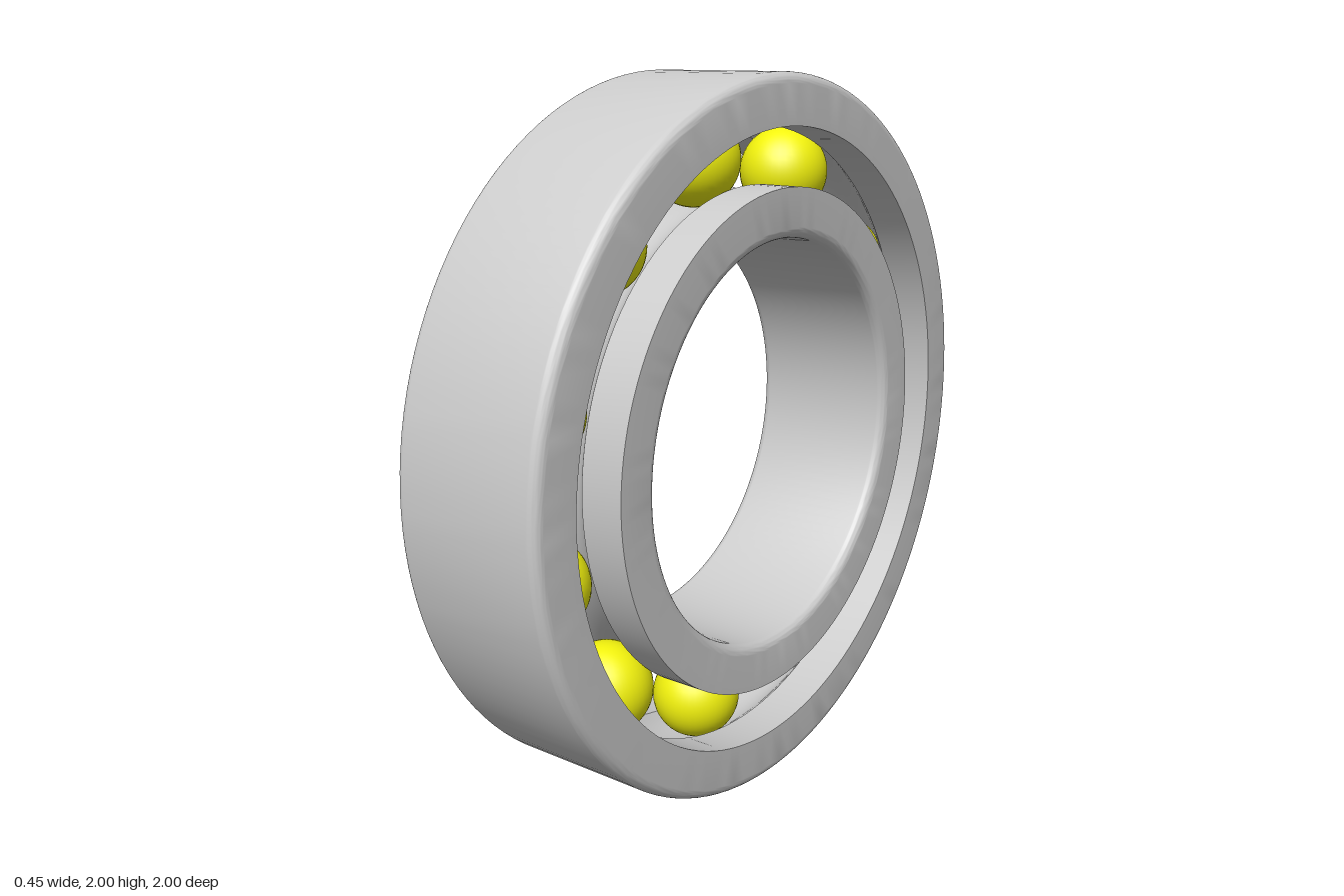
import * as THREE from 'three';
import { toCreasedNormals } from 'three/addons/utils/BufferGeometryUtils.js';

const W = 0.225;        // half width of the rings
const F = 0.03;         // edge fillet
const PITCH = 0.784;    // radius of the circle of balls
const BALL = 0.127;
const GROOVE = 0.13;    // raceway radius
const OUTER = 1, OUTER_SHOULDER = 0.862;
const INNER_SHOULDER = 0.705, BORE = 0.568;
const COUNT = 11;

// Revolve a closed, counter-clockwise (radius, height) outline about the x axis
function ring(name, outline, material) {
  const points = outline.getPoints(6).filter((p, i, all) => i === 0 || p.distanceTo(all[i - 1]) > 1e-5);
  if (points[0].distanceTo(points[points.length - 1]) > 1e-5) points.push(points[0].clone());
  const geometry = toCreasedNormals(new THREE.LatheGeometry(points, 128), 0.5);
  geometry.rotateZ(-Math.PI / 2);
  const mesh = new THREE.Mesh(geometry, material);
  mesh.name = name;
  return mesh;
}

export function createModel() {
  const model = new THREE.Group();
  model.name = 'ballBearing';
  const grey = new THREE.MeshStandardMaterial({ color: 0xcccccc });
  const yellow = new THREE.MeshStandardMaterial({ color: 0xf2f20d });
  const assembly = new THREE.Group();
  assembly.name = 'bearingAssembly';
  assembly.position.y = 1;
  model.add(assembly);

  // Outer ring: rounded outer edges, raceway on the inside
  const a = Math.acos((OUTER_SHOULDER - PITCH) / GROOVE);
  const outer = new THREE.Path();
  outer.moveTo(OUTER, -W + F);
  outer.absarc(OUTER - F, W - F, F, 0, Math.PI / 2, false);
  outer.lineTo(OUTER_SHOULDER, W);
  outer.absarc(PITCH, 0, GROOVE, a, -a, true);
  outer.lineTo(OUTER_SHOULDER, -W);
  outer.absarc(OUTER - F, -W + F, F, -Math.PI / 2, 0, false);
  assembly.add(ring('outerRing', outer, grey));

  // Inner ring: raceway on the outside, rounded bore edges
  const b = Math.acos((PITCH - INNER_SHOULDER) / GROOVE);
  const inner = new THREE.Path();
  inner.moveTo(INNER_SHOULDER, -W);
  inner.absarc(PITCH, 0, GROOVE, Math.PI + b, Math.PI - b, true);
  inner.lineTo(INNER_SHOULDER, W);
  inner.absarc(BORE + F, W - F, F, Math.PI / 2, Math.PI, false);
  inner.absarc(BORE + F, -W + F, F, Math.PI, Math.PI * 1.5, false);
  assembly.add(ring('innerRing', inner, grey));

  // Balls, evenly spaced, the first one at the back
  const balls = new THREE.Group();
  balls.name = 'balls';
  const sphere = new THREE.SphereGeometry(BALL, 40, 28);
  for (let i = 0; i < COUNT; i++) {
    const t = (i / COUNT) * Math.PI * 2;
    const ball = new THREE.Mesh(sphere, yellow);
    ball.name = `ball${i + 1}`;
    ball.position.set(0, PITCH * Math.sin(t), -PITCH * Math.cos(t));
    balls.add(ball);
  }
  assembly.add(balls);

  return model;
}
